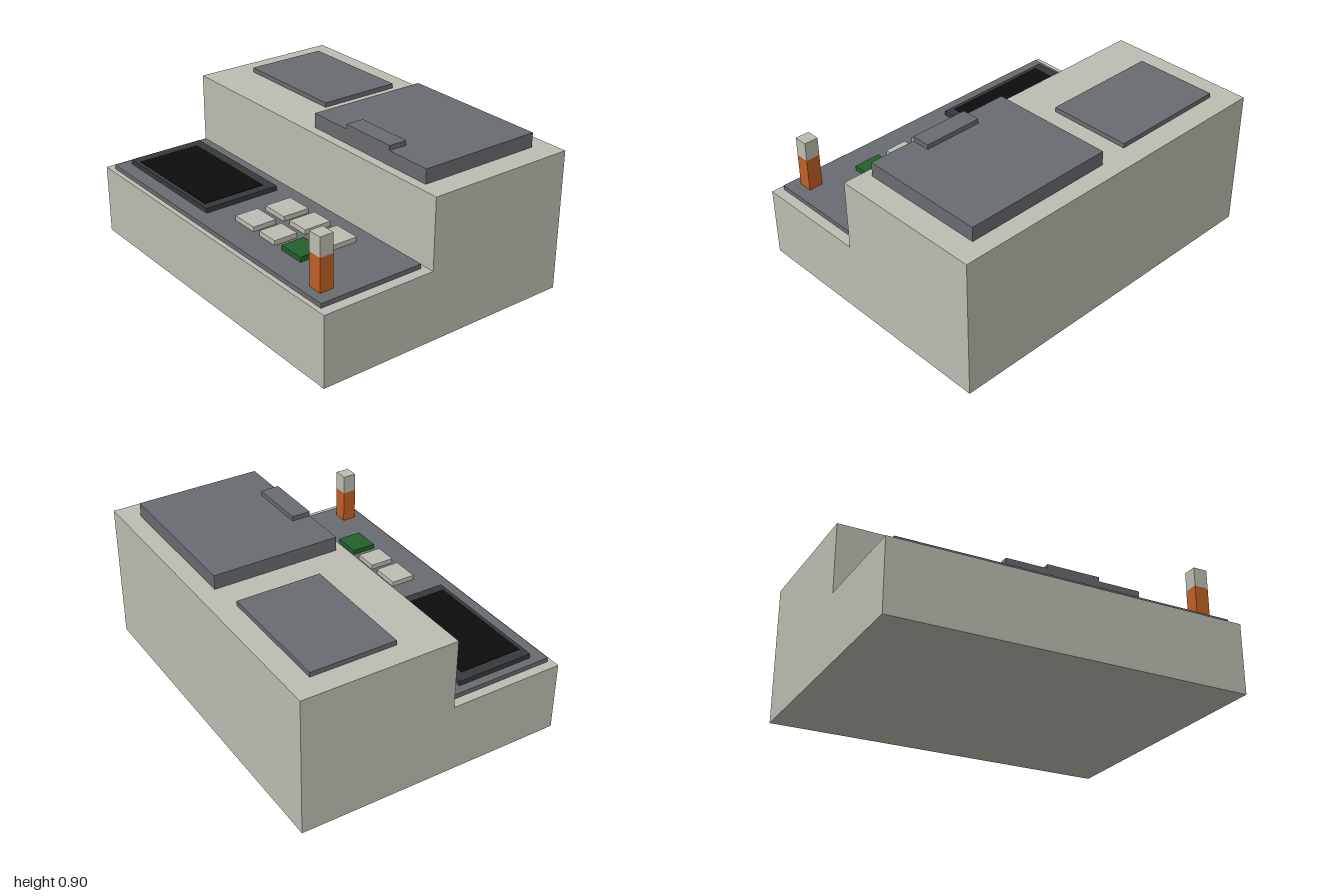
import * as THREE from 'three';

const mat = (name, color) => {
  const m = new THREE.MeshStandardMaterial({ color });
  m.name = name;
  return m;
};

export function createModel() {
  const model = new THREE.Group();
  model.name = 'countertopMachine';

  const cream = mat('cream', 0xbebdb2);
  const grey = mat('grey', 0x686b70);
  const charcoal = mat('charcoal', 0x363a3c);
  const black = mat('black', 0x0d0d0d);
  const green = mat('green', 0x23602c);
  const orange = mat('orange', 0xc06023);

  // Box given by its lower and upper limit on each axis
  const box = (name, material, [x0, x1], [y0, y1], [z0, z1], parent = model) => {
    const mesh = new THREE.Mesh(new THREE.BoxGeometry(x1 - x0, y1 - y0, z1 - z0), material);
    mesh.position.set((x0 + x1) / 2, (y0 + y1) / 2, (z0 + z1) / 2);
    mesh.name = name;
    parent.add(mesh);
    return mesh;
  };

  const deck = 0.395, top = 0.79, consoleTop = 0.42, raised = 0.447;

  // Stepped housing: side profile swept across the width
  const profile = new THREE.Shape([
    [-0.762, 0], [0.762, 0], [0.762, top], [-0.105, top], [-0.105, deck], [-0.762, deck],
  ].map(([x, y]) => new THREE.Vector2(x, y)));
  const housingGeometry = new THREE.ExtrudeGeometry(profile, { depth: 2, bevelEnabled: false });
  housingGeometry.translate(0, 0, -1).rotateY(Math.PI / 2);
  const housing = new THREE.Mesh(housingGeometry, cream);
  housing.name = 'housing';
  model.add(housing);

  // Covers on the upper level
  box('flatCover', grey, [-0.872, -0.185], [top, 0.816], [-0.635, -0.16]);
  box('lid', grey, [0, 0.868], [top, 0.87], [-0.66, 0.053]);
  box('lidHandle', grey, [0.263, 0.6], [0.87, 0.896], [-0.053, 0.053]);

  // Control console with display
  box('consolePlate', grey, [-0.947, 0.943], [deck, consoleTop], [0.132, 0.735]);
  box('displayBezel', charcoal, [-0.9, -0.132], [consoleTop, raised], [0.21, 0.655]);
  box('displayScreen', black, [-0.842, -0.183], [raised, raised + 0.003], [0.263, 0.632]);

  // Two rows of three keys, the front right one green
  const keys = new THREE.Group();
  keys.name = 'keypad';
  model.add(keys);
  const columns = [[0.025, 0.185], [0.235, 0.367], [0.423, 0.58]];
  const rows = [[0.235, 0.393], [0.443, 0.58]];
  rows.forEach((z, r) => columns.forEach((x, c) => {
    const start = r === 1 && c === 2;
    box(start ? 'startKey' : 'key', start ? green : cream, x, [consoleTop, raised], z, keys);
  }));

  // Signal lamp
  const lamp = new THREE.Group();
  lamp.name = 'signalLamp';
  model.add(lamp);
  box('lampBody', orange, [0.787, 0.868], [consoleTop, 0.605], [0.605, 0.683], lamp);
  box('lampCap', cream, [0.787, 0.868], [0.605, 0.712], [0.605, 0.683], lamp);

  return model;
}
